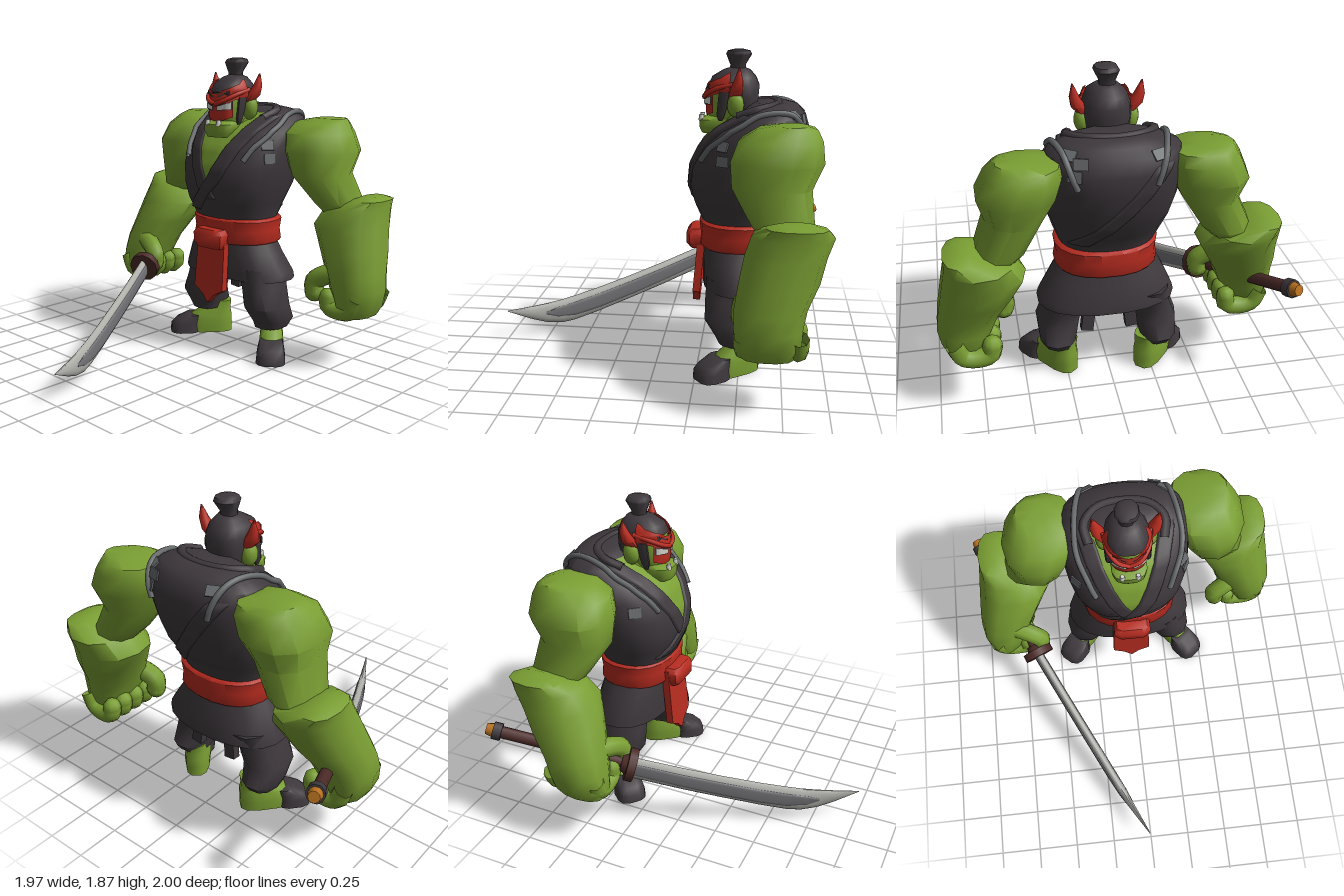
import * as THREE from 'three';
import { toCreasedNormals } from 'three/addons/utils/BufferGeometryUtils.js';

const paint = (name, color) => new THREE.MeshStandardMaterial({ name, color, side: THREE.DoubleSide });
const M = {
  skin: paint('green skin', 0x7a9e33), cloth: paint('dark cloth', 0x3e383c), red: paint('red', 0xb82c20),
  steel: paint('steel', 0xb2b2ad), fuller: paint('dark steel', 0x747478), rope: paint('grey rope', 0x66696b),
  wood: paint('brown grip', 0x4c2b28), brass: paint('orange brass', 0xb8701f), ivory: paint('ivory', 0xd5d5cd),
};
const V = (x, y, z) => new THREE.Vector3(x, y, z);

function add(parent, name, geo, mat, pos = [0, 0, 0], rot = [0, 0, 0]) {
  const mesh = new THREE.Mesh(geo, mat);
  mesh.name = name;
  mesh.position.set(...pos);
  mesh.rotation.set(...rot);
  parent.add(mesh);
  return mesh;
}

// Closed body through level rings [x, y, z, half width, half depth], listed from low to high
function loft(rings, n = 12, power = 2.3, crease = 0.9) {
  const pos = [], idx = [];
  const bend = (v) => Math.sign(v) * Math.abs(v) ** (2 / power);
  for (const [x, y, z, a, b] of rings)
    for (let j = 0; j < n; j++) {
      const t = ((j + 0.5) / n) * Math.PI * 2;
      pos.push(x + a * bend(Math.cos(t)), y, z + b * bend(Math.sin(t)));
    }
  const last = rings.length - 1, low = rings.length * n;
  pos.push(...rings[0].slice(0, 3), ...rings[last].slice(0, 3));
  for (let j = 0; j < n; j++) {
    const k = (j + 1) % n;
    for (let i = 0; i < last; i++) {
      const a = i * n + j, b = i * n + k;
      idx.push(a, a + n, b, b, a + n, b + n);
    }
    idx.push(low, j, k, low + 1, last * n + k, last * n + j);
  }
  const g = new THREE.BufferGeometry();
  g.setAttribute('position', new THREE.Float32BufferAttribute(pos, 3));
  g.setIndex(idx);
  return toCreasedNormals(g, crease);
}

// Nearest surface point along a ray, lifted off the surface
function touch(targets, from, to, lift) {
  const hit = new THREE.Raycaster(from, to.clone().sub(from).normalize()).intersectObjects(targets)[0];
  return hit && { p: hit.point.clone().addScaledVector(hit.face.normal, lift), n: hit.face.normal.clone() };
}

// Thin sheet laid on a surface; ray(u, v) gives the start and aim of each corner, edge is the lift of its rim
function drape(targets, ray, nu, nv, lift, edge = lift) {
  const g = new THREE.PlaneGeometry(1, 1, nu, nv), p = g.attributes.position;
  for (let i = 0; i < p.count; i++) {
    const rim = Math.max(Math.abs(p.getX(i)), Math.abs(p.getY(i))) > 0.499;
    const [from, to] = ray(p.getX(i) + 0.5, p.getY(i) + 0.5);
    const h = touch(targets, from, to, rim ? edge : lift);
    const q = h ? h.p : to;
    p.setXYZ(i, q.x, q.y, q.z);
  }
  g.computeVertexNormals();
  return g;
}

const tube = (pts, r, n = 12) => new THREE.TubeGeometry(new THREE.CatmullRomCurve3(pts), n, r, 8);

function buildTorso(root) {
  const torso = add(root, 'jacket', loft([
    [0.005, 0.7, -0.47, 0.25, 0.19], [0.005, 0.86, -0.47, 0.265, 0.21], [0, 0.98, -0.47, 0.315, 0.265],
    [0, 1.08, -0.49, 0.345, 0.31], [0, 1.2, -0.515, 0.37, 0.325], [0, 1.32, -0.555, 0.375, 0.315],
    [0, 1.42, -0.6, 0.375, 0.275], [0, 1.5, -0.65, 0.35, 0.2], [0, 1.55, -0.66, 0.26, 0.15],
    [0, 1.57, -0.64, 0.16, 0.1]], 28), M.cloth);
  // Open neckline and the crossed lapels
  const facing = (x, y, side) => [V(x, y, side * 3 - 0.5), V(x, y, -0.55)];
  add(root, 'bareChest', drape([torso], (u, v) => facing((u - 0.5) * 0.44 * v, 1.1 + 0.43 * v, 1), 14, 16, 0.004), M.skin);
  const band = (name, pts, side, lift) => {
    const path = new THREE.CatmullRomCurve3(pts.map(([x, y]) => V(x, y, 0)));
    add(root, name, drape([torso], (u, v) => {
      const c = path.getPoint(v);
      return facing(c.x + (u - 0.5) * 0.11, c.y, side);
    }, 10, 28, lift, -0.003), M.cloth);
  };
  band('rightLapel', [[-0.24, 1.525], [-0.145, 1.32], [-0.045, 1.12], [0.02, 1.0]], 1, 0.01);
  band('leftLapel', [[0.24, 1.525], [0.145, 1.32], [0.045, 1.12], [-0.16, 0.91]], 1, 0.016);
  band('backBand', [[-0.24, 1.46], [-0.02, 1.18], [0.2, 0.92]], -1, 0.012);
  add(root, 'collar', tube([V(-0.215, 1.5, -0.46), V(-0.23, 1.54, -0.57), V(-0.15, 1.555, -0.66), V(0, 1.555, -0.69),
    V(0.15, 1.555, -0.66), V(0.23, 1.54, -0.57), V(0.215, 1.5, -0.46)], 0.028, 24), M.cloth);
  // Shoulder ropes and patches
  const patches = { 1: [[0.12, 0.34], [0.6, 0.32], [2.3, 0.25], [2.45, 0.2], [2.6, 0.23]], '-1': [[0.12, 0.31], [2.4, 0.2]] };
  for (const s of [1, -1]) {
    const spot = (a, x, lift) => touch([torso], V(x, 1.25 + 2 * Math.sin(a), -0.53 + 2 * Math.cos(a)), V(x, 1.25, -0.53), lift);
    const pts = [];
    for (let i = 0; i <= 16; i++) {
      const a = (i / 16) * 2.8, h = spot(a, 0.015 + s * (0.215 - 0.02 * a + 0.12 * Math.sin(a)), 0.01);
      if (h) pts.push(h.p);
    }
    add(root, 'shoulderRope', tube(pts, 0.017, 40), M.rope);
    for (const [a, x] of patches[s]) {
      const h = spot(a, s * x, 0.003);
      const patch = add(root, 'clothPatch', new THREE.BoxGeometry(0.075, 0.06, 0.009), M.rope, h.p.toArray());
      patch.lookAt(h.p.clone().add(h.n));
    }
  }
}

function buildHead(root) {
  add(root, 'neck', loft([[0, 1.36, -0.54, 0.15, 0.16], [0, 1.5, -0.49, 0.13, 0.13], [0, 1.56, -0.46, 0.1, 0.1]]), M.skin);
  add(root, 'jaw', loft([[0, 1.385, -0.31, 0.075, 0.065], [0, 1.42, -0.32, 0.098, 0.09], [0, 1.465, -0.335, 0.105, 0.105], [0, 1.485, -0.37, 0.09, 0.09]], 12, 2.8), M.skin);
  const head = add(root, 'head', loft([[0, 1.45, -0.41, 0.09, 0.11], [0, 1.5, -0.41, 0.112, 0.13], [0, 1.6, -0.42, 0.12, 0.145], [0, 1.68, -0.42, 0.11, 0.13]], 16), M.skin);
  const hair = add(root, 'hair', loft([[0, 1.46, -0.5, 0.09, 0.06], [0, 1.53, -0.48, 0.115, 0.09], [0, 1.6, -0.46, 0.126, 0.115],
    [0, 1.66, -0.43, 0.126, 0.15], [0, 1.71, -0.43, 0.108, 0.13], [0, 1.75, -0.445, 0.07, 0.08], [0, 1.765, -0.45, 0.035, 0.04]], 16), M.cloth);
  add(root, 'topknot', loft([[0, 1.74, -0.45, 0.045, 0.045], [0, 1.78, -0.45, 0.045, 0.045], [0.005, 1.84, -0.455, 0.07, 0.075], [0.008, 1.86, -0.455, 0.06, 0.065], [0.008, 1.868, -0.455, 0.03, 0.03]], 10), M.cloth);
  // Mask pieces wrapped around the face: angle range and height edges
  const face = (name, mat, a0, a1, lo, hi, lift) => add(root, name, drape([head, hair], (u, v) => {
    const a = a0 + (a1 - a0) * u, y = lo(u) + (hi(u) - lo(u)) * v;
    return [V(Math.sin(a) * 2, y, -0.42 + Math.cos(a) * 2), V(0, y, -0.42)];
  }, 20, 8, lift), mat);
  const away = (u) => Math.abs(u - 0.5) * 2;
  face('maskLower', M.red, -0.75, 0.75, (u) => 1.48 + 0.03 * away(u), () => 1.62, 0.012);
  face('maskBrow', M.red, -1.5, 1.5, (u) => 1.585 + 0.05 * away(u), (u) => 1.65 + 0.08 * away(u), 0.016);
  for (const s of [1, -1]) {
    face('eyeShadow', M.cloth, s * 0.1, s * 0.72, (u) => 1.548 + 0.01 * u, (u) => 1.582 + 0.025 * u, 0.018);
    face('eye', M.ivory, s * 0.14, s * 0.64, (u) => 1.555 + 0.006 * u, (u) => 1.575 + 0.026 * u, 0.022);
    face('browMark', M.cloth, s * 0.1, s * 0.6, (u) => 1.622 + 0.035 * u, (u) => 1.632 + 0.035 * u, 0.02);
    add(root, 'browRidge', tube([V(0, 1.588, -0.258), V(s * 0.06, 1.61, -0.268), V(s * 0.115, 1.65, -0.335), V(s * 0.13, 1.675, -0.43)], 0.014), M.red);
    // Horn, ear, sideburn and tusk
    add(root, 'horn', loft([[s * 0.12, 1.6, -0.44, 0.03, 0.04], [s * 0.15, 1.645, -0.45, 0.042, 0.04], [s * 0.172, 1.7, -0.46, 0.029, 0.028], [s * 0.184, 1.775, -0.465, 0.004, 0.004]], 8), M.red);
    add(root, 'ear', new THREE.SphereGeometry(1, 10, 8), M.skin, [s * 0.13, 1.56, -0.445], [0, 0, -s * 0.15]).scale.set(0.045, 0.072, 0.05);
    add(root, 'sideburn', loft([[s * 0.108, 1.465, -0.36, 0.008, 0.012], [s * 0.115, 1.5, -0.36, 0.016, 0.025], [s * 0.12, 1.63, -0.385, 0.016, 0.04]], 8), M.cloth);
    add(root, 'tusk', new THREE.CylinderGeometry(0.013, 0.018, 0.035, 6), M.ivory, [s * 0.045, 1.475, -0.245]);
  }
}

function buildArm(root, s) {
  const arm = new THREE.Group();
  arm.name = s > 0 ? 'leftArm' : 'rightArm';
  root.add(arm);
  const place = (rings, shift) => rings.map(([x, y, z, a, b]) => [s * x, y, z + (s < 0 ? shift(y) : 0), a, b]);
  const reach = (y) => 0.08 + (1.06 - y) * 0.2;
  add(arm, 'upperArm', loft(place([
    [0.66, 0.92, -0.73, 0.1, 0.12], [0.62, 1.0, -0.72, 0.14, 0.17], [0.53, 1.17, -0.66, 0.16, 0.215], [0.515, 1.31, -0.685, 0.215, 0.25],
    [0.475, 1.42, -0.7, 0.205, 0.225], [0.465, 1.48, -0.735, 0.175, 0.16], [0.52, 1.505, -0.76, 0.1, 0.08]], () => 0.06), 11), M.skin);
  add(arm, 'forearm', loft(place([
    [0.85, 0.34, -0.66, 0.08, 0.14], [0.84, 0.4, -0.66, 0.125, 0.175], [0.825, 0.5, -0.66, 0.16, 0.18], [0.8, 0.6, -0.67, 0.175, 0.19],
    [0.755, 0.73, -0.71, 0.2, 0.21], [0.71, 0.86, -0.74, 0.225, 0.215], [0.73, 0.97, -0.775, 0.185, 0.215], [0.82, 1.03, -0.79, 0.095, 0.16],
    [0.82, 1.05, -0.79, 0.05, 0.09]], reach), 11), M.skin);
  // Curled fingers and thumb
  const dz = s < 0 ? reach(0.42) : 0;
  const digit = (name, pts, r) => {
    const p = pts.map(([x, y, z]) => V(s * x, y, z + dz));
    add(arm, name, tube(p, r), M.skin);
    add(arm, name + 'Tip', new THREE.SphereGeometry(r, 8, 6), M.skin, p[p.length - 1].toArray());
  };
  for (let i = 0; i < 4; i++) {
    const z = -0.54 - i * 0.092;
    digit('finger', [[0.89, 0.47, z], [0.85, 0.385, z], [0.77, 0.365, z], [0.7, 0.385, z], [0.69, 0.44, z]], 0.056);
  }
  digit('thumb', [[0.76, 0.6, -0.58], [0.66, 0.57, -0.54], [0.6, 0.52, -0.52], [0.605, 0.46, -0.52]], 0.062);
}

function buildLowerBody(root) {
  add(root, 'skirt', loft([[0.01, 0.49, -0.5, 0.4, 0.235], [0.01, 0.53, -0.5, 0.39, 0.235], [0, 0.65, -0.48, 0.325, 0.22], [0, 0.76, -0.47, 0.26, 0.2]], 20), M.cloth);
  add(root, 'sash', loft([[0.01, 0.72, -0.475, 0.285, 0.225], [0.01, 0.735, -0.475, 0.295, 0.235], [0.01, 0.8, -0.475, 0.285, 0.228], [0.01, 0.865, -0.475, 0.295, 0.235], [0.01, 0.88, -0.475, 0.28, 0.22]], 20), M.red);
  add(root, 'sashKnot', loft([[0.005, 0.69, -0.235, 0.1, 0.05], [0.005, 0.72, -0.23, 0.115, 0.068], [0.005, 0.78, -0.23, 0.12, 0.068], [0.005, 0.81, -0.235, 0.1, 0.05]], 8, 4), M.red);
  const flap = new THREE.Shape([[-0.11, 0.78], [-0.12, 0.41], [-0.05, 0.37], [0, 0.315], [0.05, 0.37], [0.12, 0.41], [0.11, 0.78]].map(([x, y]) => new THREE.Vector2(x, y)));
  add(root, 'frontFlap', new THREE.ExtrudeGeometry(flap, { depth: 0.045, bevelEnabled: false }), M.red, [0, 0.01, -0.22], [-0.08, 0, 0]);
  for (const x of [-0.11, 0.13]) add(root, 'backTatter', new THREE.BoxGeometry(0.07, 0.18, 0.05), M.cloth, [x, 0.42, -0.62], [0.1, 0, x]);
  for (const s of [1, -1]) {
    const dz = s < 0 ? -0.04 : 0;
    add(root, 'trouserLeg', loft([[0.29, 0.175, -0.5, 0.095, 0.12], [0.295, 0.22, -0.505, 0.11, 0.145], [0.285, 0.32, -0.45, 0.13, 0.155],
      [0.255, 0.44, -0.46, 0.115, 0.165], [0.22, 0.56, -0.48, 0.13, 0.18]].map(([x, y, z, a, b]) => [s * x, y, z + dz, a, b]), 11), M.cloth);
    // Foot turned outward with a covered toe
    const foot = new THREE.Group();
    foot.name = 'foot';
    foot.position.set(s > 0 ? 0.26 : -0.23, 0, s > 0 ? -0.54 : -0.58);
    foot.rotation.y = s > 0 ? 0.66 : -0.72;
    root.add(foot);
    add(foot, 'heel', loft([[0, 0, 0.08, 0.075, 0.16], [0, 0.06, 0.08, 0.08, 0.16], [0, 0.12, 0.06, 0.075, 0.14], [0, 0.16, 0.03, 0.068, 0.1], [0, 0.22, 0, 0.065, 0.075]], 12, 2.8), M.skin);
    add(foot, 'toeCap', loft([[0, 0, 0.245, 0.094, 0.1], [0, 0.05, 0.245, 0.09, 0.095], [0, 0.085, 0.225, 0.084, 0.08], [0, 0.12, 0.185, 0.074, 0.045]], 12, 3), M.cloth);
  }
}

function buildSword(root) {
  // Blade lies in an upright plane: stations are [distance, top, bottom]
  const blade = new THREE.Group();
  blade.name = 'blade';
  blade.position.set(-0.63, 0, -0.23);
  blade.rotation.y = -Math.atan2(1.23, 0.62);
  root.add(blade);
  const plate = (name, stations, thick, power, mat) => {
    const rings = stations.map(([u, top, low]) => [-(top + low) / 2, u, 0, (top - low) / 2, thick * Math.min(1, (1.42 - u) * 2.5)]);
    add(blade, name, loft(rings, 16, power).rotateZ(-Math.PI / 2), mat);
  };
  plate('bladeBody', [[0, 0.5, 0.35], [0.3, 0.405, 0.25], [0.53, 0.338, 0.18], [0.77, 0.274, 0.11], [0.93, 0.238, 0.07], [1.02, 0.22, 0.06],
    [1.12, 0.207, 0.075], [1.22, 0.198, 0.11], [1.377, 0.187, 0.182]], 0.029, 1.9, M.steel);
  plate('bladeHollow', [[0.01, 0.466, 0.382], [0.3, 0.373, 0.282], [0.53, 0.306, 0.209], [0.77, 0.241, 0.14], [0.93, 0.203, 0.108], [1.05, 0.18, 0.11], [1.13, 0.155, 0.135]], 0.031, 6, M.fuller);
  // Grip parts stacked along a straight line
  const a = V(-0.625, 0.44, -0.23), b = V(-0.96, 0.705, -0.98);
  const turn = new THREE.Quaternion().setFromUnitVectors(V(0, 1, 0), b.clone().sub(a).normalize());
  const piece = (name, t, r0, r1, h, mat, n = 10) =>
    add(root, name, new THREE.CylinderGeometry(r0, r1, h, n), mat, a.clone().lerp(b, t).toArray()).quaternion.copy(turn);
  piece('guard', 0.01, 0.1, 0.1, 0.05, M.wood, 12);
  piece('guardCollar', 0.05, 0.05, 0.07, 0.05, M.wood);
  piece('grip', 0.48, 0.036, 0.036, 0.8, M.wood);
  piece('pommelRing', 0.93, 0.052, 0.052, 0.05, M.cloth);
  piece('pommel', 0.975, 0.032, 0.043, 0.05, M.brass);
}

export function createModel() {
  const root = new THREE.Group();
  root.name = 'ogreSwordsman';
  buildTorso(root);
  buildHead(root);
  buildArm(root, 1);
  buildArm(root, -1);
  buildLowerBody(root);
  buildSword(root);
  return root;
}
